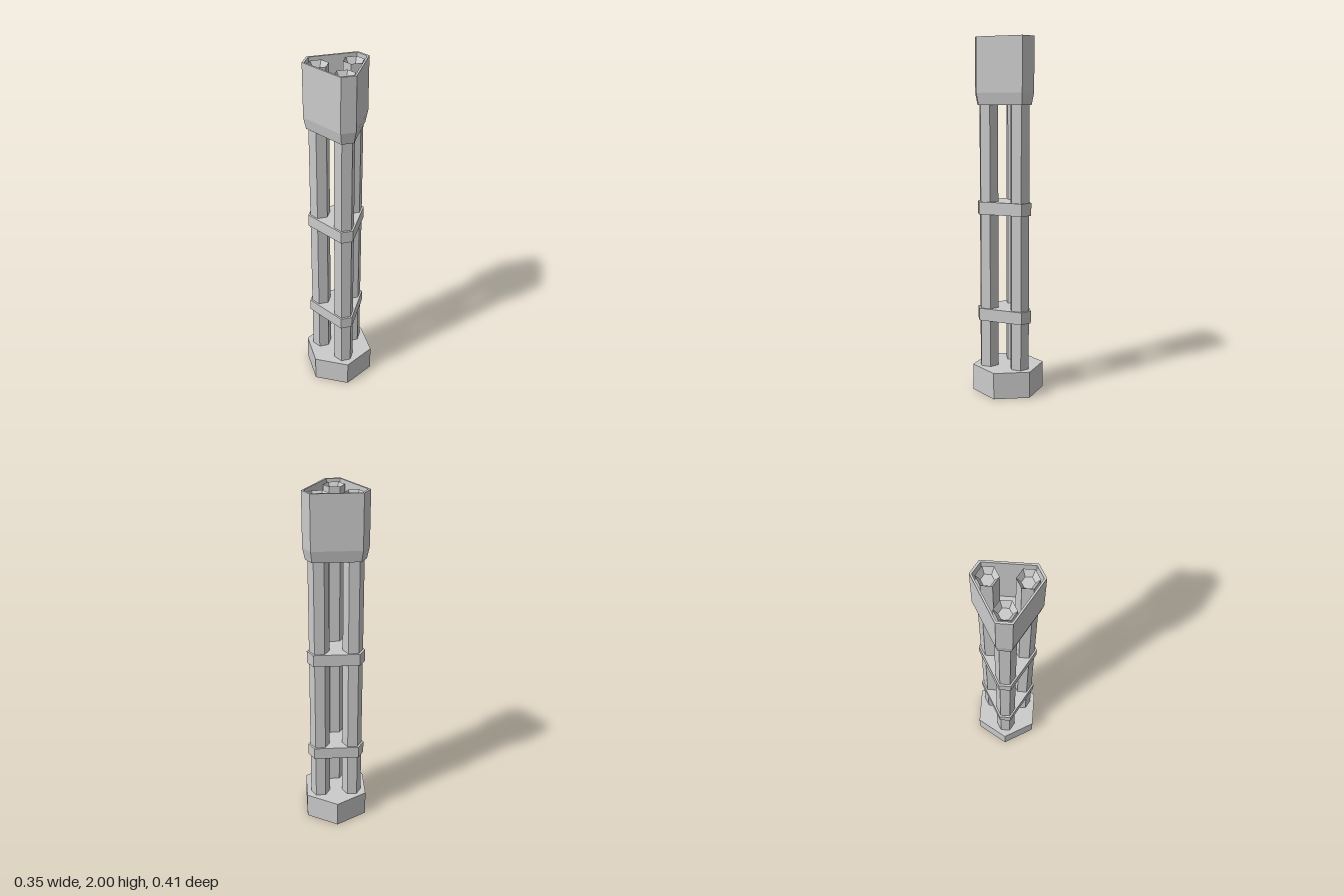
import * as THREE from 'three';

// Regular hexagon; start is the angle of its first corner from +z
function hexagon(radius, start, cx = 0, cz = 0) {
  return Array.from({ length: 6 }, (_, i) => {
    const t = start + (i * Math.PI) / 3;
    return [cx + radius * Math.sin(t), cz + radius * Math.cos(t)];
  });
}

// Triangle with cut corners: side = distance to long sides, corner = distance to cut corners
function cutTriangle(side, corner) {
  const half = (2 * side - corner) * Math.tan(Math.PI / 6);
  const points = [];
  for (let k = 0; k < 3; k++) {
    const t = (k * 2 * Math.PI) / 3, c = Math.cos(t), s = Math.sin(t);
    for (const x of [-half, half]) points.push([x * c + corner * s, corner * c - x * s]);
  }
  return points;
}

// Joins [y, section] rings with flat faces and closes the first and last ring
function loft(rings) {
  const pos = [];
  const at = (ring, j) => {
    const p = ring[1][j % ring[1].length];
    return [p[0], ring[0], p[1]];
  };
  const n = rings[0][1].length;
  const first = rings[0], last = rings[rings.length - 1];
  for (let i = 0; i < rings.length - 1; i++) {
    for (let j = 0; j < n; j++) {
      const a = at(rings[i], j), b = at(rings[i], j + 1);
      const c = at(rings[i + 1], j + 1), d = at(rings[i + 1], j);
      pos.push(...a, ...b, ...c, ...a, ...c, ...d);
    }
  }
  for (let j = 1; j < n - 1; j++) {
    pos.push(...at(first, 0), ...at(first, j + 1), ...at(first, j));
    pos.push(...at(last, 0), ...at(last, j), ...at(last, j + 1));
  }
  const geometry = new THREE.BufferGeometry();
  geometry.setAttribute('position', new THREE.Float32BufferAttribute(pos, 3));
  geometry.computeVertexNormals();
  return geometry;
}

export function createModel() {
  const model = new THREE.Group();
  model.name = 'tripleChimney';
  const material = new THREE.MeshStandardMaterial({ color: 0xcccccc, flatShading: true });
  const add = (name, rings) => {
    const mesh = new THREE.Mesh(loft(rings), material);
    mesh.name = name;
    model.add(mesh);
  };

  // Hexagonal foot, hollow underneath
  const outer = hexagon(0.203, 0), inner = hexagon(0.191, 0);
  add('base', [[0.14, inner], [0, inner], [0, outer], [0.15, outer]]);

  // Three hexagonal pipes with funnel-shaped mouths
  for (let k = 0; k < 3; k++) {
    const t = (k * 2 * Math.PI) / 3;
    const x = 0.108 * Math.sin(t), z = 0.108 * Math.cos(t);
    const wall = hexagon(0.0565, Math.PI / 6, x, z);
    const throat = hexagon(0.033, Math.PI / 6, x, z);
    add('pipe' + (k + 1), [[0.07, wall], [1.985, wall], [1.945, throat]]);
  }

  // Plates bracing the pipes
  const plate = cutTriangle(0.113, 0.168);
  for (const [name, y] of [['lowerBrace', 0.42], ['upperBrace', 1.03]]) {
    add(name, [[y, plate], [y + 0.07, plate]]);
  }

  // Open-topped collar with a tapered underside
  const shell = cutTriangle(0.125, 0.18), lining = cutTriangle(0.115, 0.168);
  add('collar', [[1.635, plate], [1.70, shell], [2, shell], [2, lining], [1.66, cutTriangle(0.111, 0.164)]]);

  return model;
}
